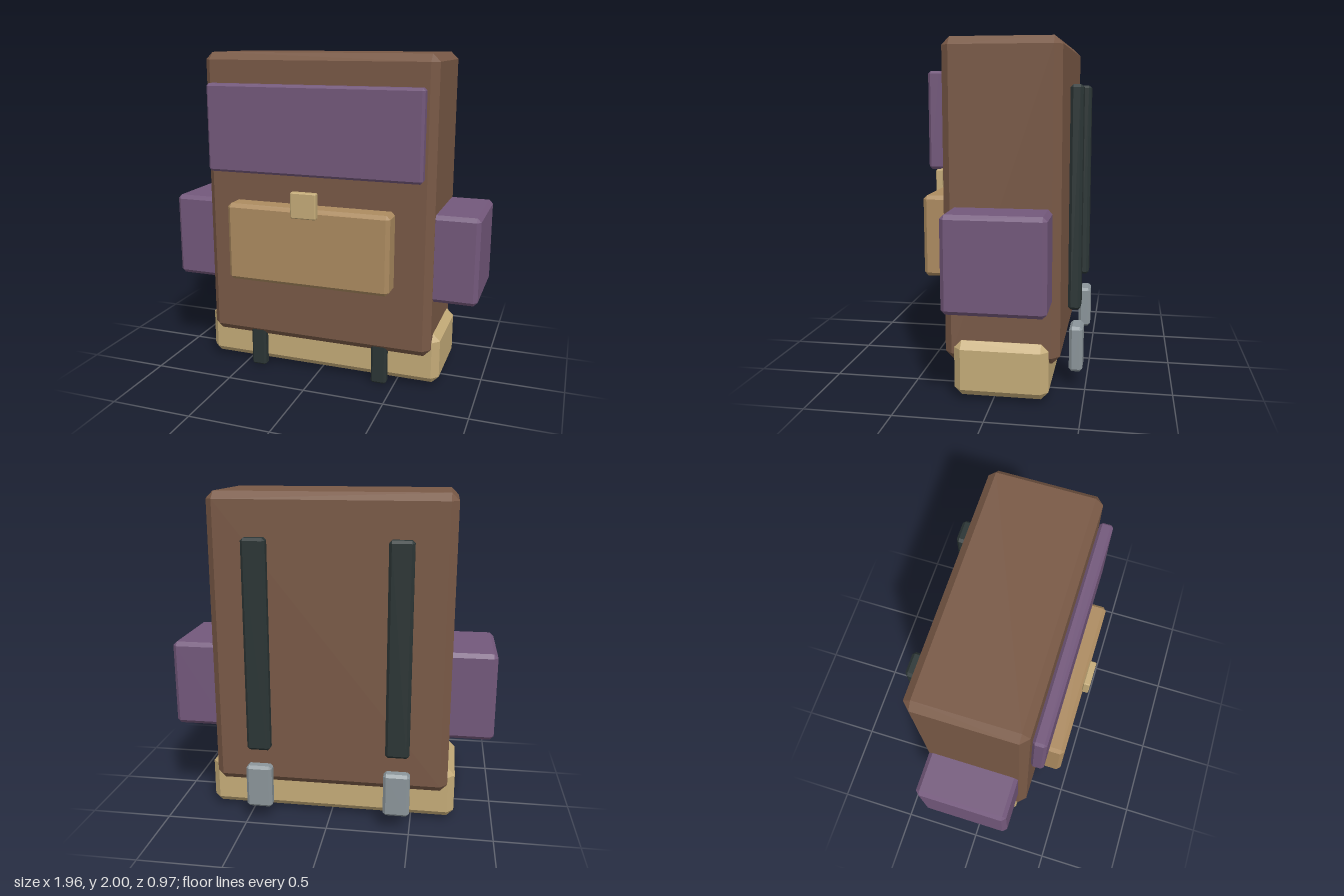
import * as THREE from 'three';
import { ConvexGeometry } from 'three/addons/geometries/ConvexGeometry.js';

const mat = (name, color) => {
  const m = new THREE.MeshStandardMaterial({ color });
  m.name = name;
  return m;
};

// Box between two corners with flat chamfers of size c on every edge
function chamferBox(name, material, [x0, x1], [y0, y1], [z0, z1], c) {
  const half = [(x1 - x0) / 2, (y1 - y0) / 2, (z1 - z0) / 2];
  const points = [];
  for (const sx of [-1, 1]) for (const sy of [-1, 1]) for (const sz of [-1, 1]) {
    for (let axis = 0; axis < 3; axis++) {
      const p = half.map((h, i) => (i === axis ? h : h - c));
      points.push(new THREE.Vector3(p[0] * sx, p[1] * sy, p[2] * sz));
    }
  }
  const mesh = new THREE.Mesh(new ConvexGeometry(points), material);
  mesh.name = name;
  mesh.position.set((x0 + x1) / 2, (y0 + y1) / 2, (z0 + z1) / 2);
  return mesh;
}

export function createModel() {
  const brown = mat('brown canvas', 0x795946);
  const purple = mat('purple cloth', 0x73587b);
  const tan = mat('tan leather', 0xac8b60);
  const straw = mat('straw blanket', 0xc4ab78);
  const dark = mat('dark strap', 0x2b3535);
  const steel = mat('grey metal', 0x8b959a);

  const group = new THREE.Group();
  group.name = 'backpack';

  // Main bag, flap, front pocket with its clasp, and bedroll
  group.add(
    chamferBox('body', brown, [-0.72, 0.72], [0.215, 2], [-0.37, 0.28], 0.044),
    chamferBox('flap', purple, [-0.665, 0.665], [1.29, 1.82], [0.285, 0.362], 0.015),
    chamferBox('frontPocket', tan, [-0.505, 0.505], [0.64, 1.117], [0.3, 0.45], 0.022),
    chamferBox('pocketClasp', straw, [-0.078, 0.078], [1.068, 1.222], [0.443, 0.485], 0.006),
    chamferBox('bedroll', straw, [-0.765, 0.765], [0.023, 0.34], [-0.312, 0.22], 0.042),
  );

  // Paired parts on both sides
  for (const s of [-1, 1]) {
    const span = (a, b) => (s > 0 ? [a, b] : [-b, -a]);
    const side = s > 0 ? 'left' : 'right';
    group.add(
      chamferBox(side + 'SidePocket', purple, span(0.64, 0.98), [0.56, 1.09], [-0.327, 0.232], 0.024),
      chamferBox(side + 'BedrollStrap', dark, span(0.355, 0.452), [0, 0.34], [0.205, 0.266], 0.012),
      chamferBox(side + 'ShoulderStrap', dark, span(0.348, 0.49), [0.47, 1.75], [-0.467, -0.395], 0.016),
      chamferBox(side + 'StrapBuckle', steel, span(0.34, 0.498), [0.1, 0.37], [-0.482, -0.404], 0.017),
    );
  }
  return group;
}
